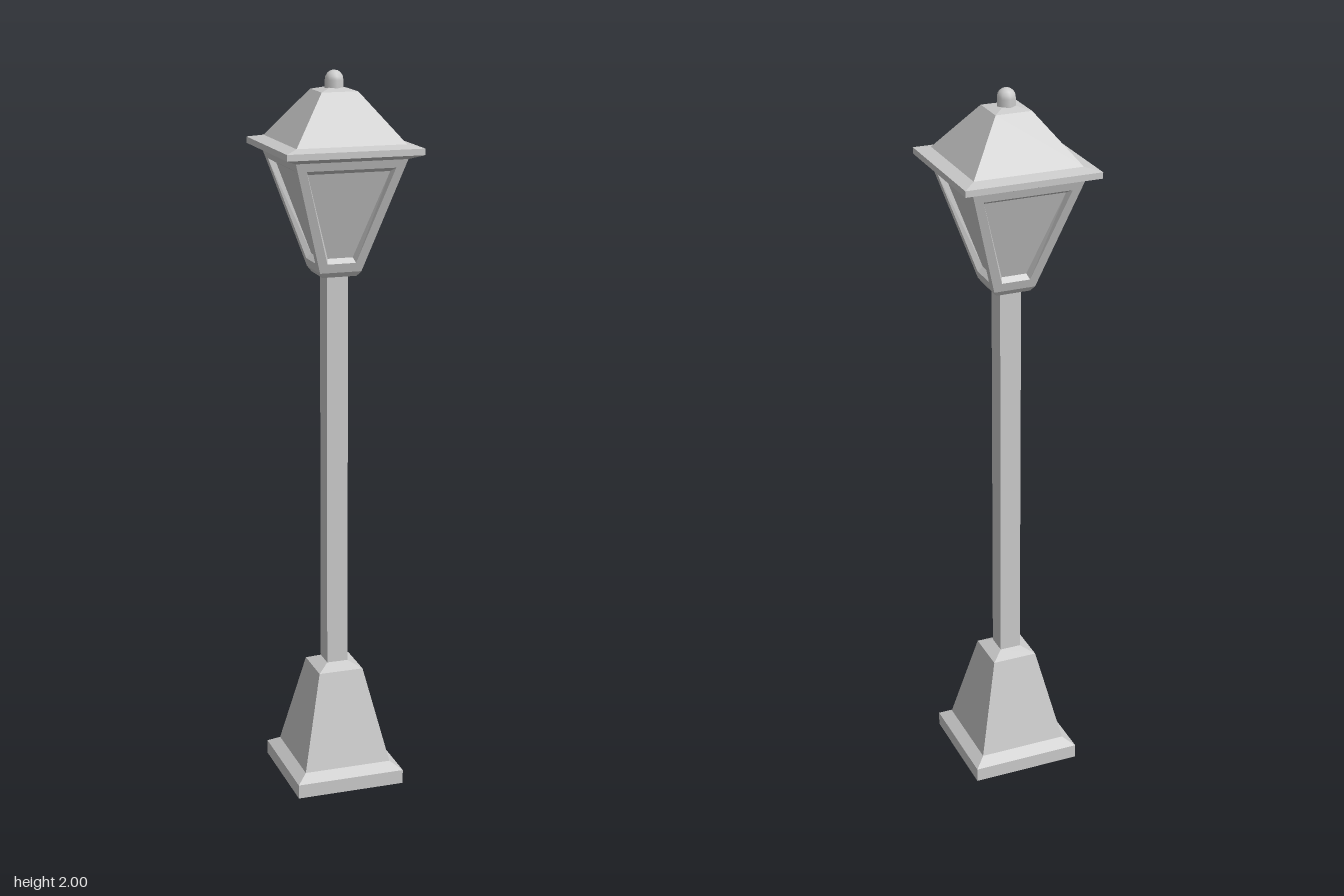
import * as THREE from 'three';

const material = new THREE.MeshStandardMaterial({ color: 0xcccccc });
const paneMaterial = new THREE.MeshStandardMaterial({ color: 0xcccccc, side: THREE.DoubleSide });

function addMesh(parent, name, geometry, mat = material) {
  const mesh = new THREE.Mesh(geometry, mat);
  mesh.name = name;
  parent.add(mesh);
  return mesh;
}

// Square tower from [half width, height] pairs, listed bottom to top
function squareLoft(profile) {
  const points = profile.map(([half, y]) => new THREE.Vector2(half * Math.SQRT2, y));
  const geometry = new THREE.LatheGeometry(points, 4, Math.PI / 4).toNonIndexed();
  geometry.computeVertexNormals();
  return geometry;
}

// Trapezoid corners, counter-clockwise seen from +z
function trapezoid(bottomHalf, bottomY, bottomZ, topHalf, topY, topZ) {
  return [
    [-bottomHalf, bottomY, bottomZ], [bottomHalf, bottomY, bottomZ],
    [topHalf, topY, topZ], [-topHalf, topY, topZ],
  ];
}

function quads(list) {
  const positions = [];
  for (const [a, b, c, d] of list) positions.push(...a, ...b, ...c, ...a, ...c, ...d);
  const geometry = new THREE.BufferGeometry();
  geometry.setAttribute('position', new THREE.Float32BufferAttribute(positions, 3));
  geometry.computeVertexNormals();
  return geometry;
}

// Quads joining an outer loop to the loop inside it
function band(outer, inner) {
  return outer.map((p, i) => {
    const j = (i + 1) % 4;
    return [p, outer[j], inner[j], inner[i]];
  });
}

export function createModel() {
  const model = new THREE.Group();
  model.name = 'lampPost';

  // Plinth and tapered pedestal
  addMesh(model, 'base', squareLoft([
    [0, 0], [0.155, 0], [0.155, 0.04], [0.125, 0.06], [0.064, 0.328], [0.03, 0.345],
  ]));

  // Square post
  addMesh(model, 'post', squareLoft([[0.03, 0.34], [0.03, 1.465]]));

  // Lantern: four sloping frames with recessed panes
  const lantern = new THREE.Group();
  lantern.name = 'lantern';
  model.add(lantern);
  addMesh(lantern, 'lanternFoot', squareLoft([[0, 1.458], [0.048, 1.458], [0.058, 1.472]]));

  const bottom = { y: 1.472, half: 0.058 };
  const top = { y: 1.78, half: 0.153 };
  const slopeAt = (y) => bottom.half + (top.half - bottom.half) * (y - bottom.y) / (top.y - bottom.y);
  const outer = trapezoid(bottom.half, bottom.y, bottom.half, top.half, top.y, top.half);
  const opening = trapezoid(0.04, 1.497, slopeAt(1.497), 0.122, 1.758, slopeAt(1.758));
  const inset = trapezoid(0.035, 1.51, slopeAt(1.51) - 0.017, 0.113, 1.747, slopeAt(1.747) - 0.017);
  const frameGeometry = quads([...band(outer, opening), ...band(opening, inset)]);
  const paneGeometry = quads([inset]);
  for (const side of ['front', 'left', 'back', 'right']) {
    const panel = new THREE.Group();
    panel.name = side + 'Panel';
    panel.rotation.y = ['front', 'left', 'back', 'right'].indexOf(side) * Math.PI / 2;
    addMesh(panel, 'frame', frameGeometry);
    addMesh(panel, 'pane', paneGeometry, paneMaterial);
    lantern.add(panel);
  }

  // Brim and hipped roof
  addMesh(model, 'roof', squareLoft([
    [0, 1.78], [0.153, 1.78], [0.187, 1.793], [0.187, 1.81],
    [0.15, 1.818], [0.05, 1.947], [0, 1.96],
  ]));

  // Rounded finial
  const r = 0.026;
  const finial = [new THREE.Vector2(r, 1.945)];
  for (let i = 0; i <= 4; i++) {
    const a = i * Math.PI / 8;
    finial.push(new THREE.Vector2(r * Math.cos(a), 2 - r + r * Math.sin(a)));
  }
  addMesh(model, 'finial', new THREE.LatheGeometry(finial, 8));

  return model;
}
